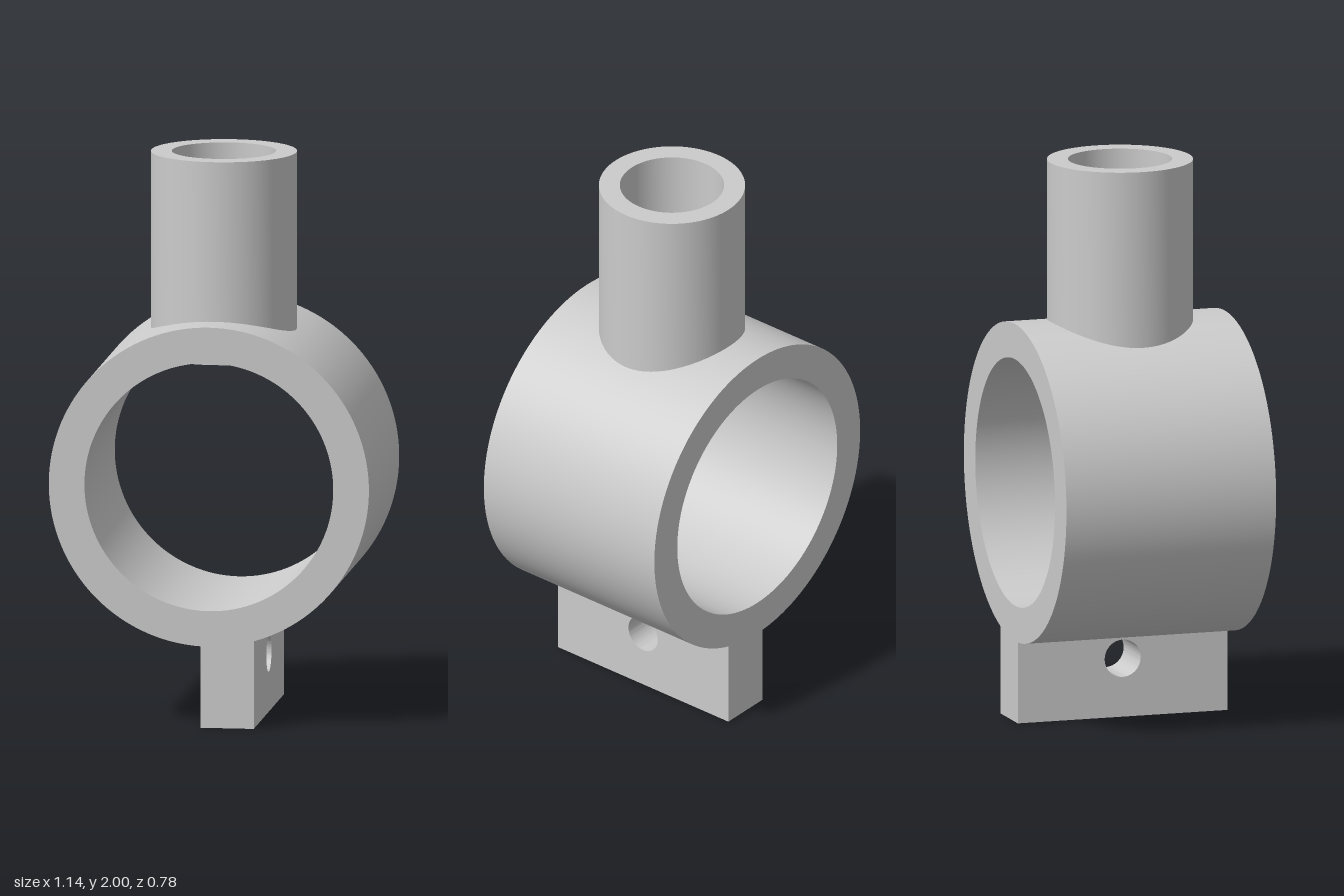
import * as THREE from 'three';
import { toCreasedNormals } from 'three/addons/utils/BufferGeometryUtils.js';

const material = new THREE.MeshStandardMaterial({ color: 0xcccccc });

// Hollow cylinder along y, centred on the origin
function pipe(outer, inner, length, segments) {
  const h = length / 2;
  const profile = [[inner, -h], [outer, -h], [outer, h], [inner, h], [inner, -h]]
    .map(([r, y]) => new THREE.Vector2(r, y));
  return toCreasedNormals(new THREE.LatheGeometry(profile, segments), 0.6);
}

// Plate with a round cross hole, extruded along its thickness
function drilledPlate(width, height, thickness, holeY, holeRadius) {
  const w = width / 2;
  const shape = new THREE.Shape();
  shape.moveTo(-w, 0).lineTo(w, 0).lineTo(w, height).lineTo(-w, height).closePath();
  const hole = new THREE.Path();
  hole.absarc(0, holeY, holeRadius, 0, Math.PI * 2, true);
  shape.holes.push(hole);
  const geometry = new THREE.ExtrudeGeometry(shape, {
    depth: thickness, bevelEnabled: false, curveSegments: 48,
  });
  return toCreasedNormals(geometry, 0.6);
}

export function createModel() {
  const model = new THREE.Group();
  model.name = 'pipeClamp';

  const add = (name, geometry) => {
    const mesh = new THREE.Mesh(geometry, material);
    mesh.name = name;
    model.add(mesh);
    return mesh;
  };

  // Large ring, open front to back
  const ring = add('clampRing', pipe(0.57, 0.443, 0.78, 128));
  ring.rotation.x = Math.PI / 2;
  ring.position.y = 0.86;

  // Upright socket, its lower rim reaching just inside the ring
  const socket = add('socketTube', pipe(0.258, 0.184, 0.725, 96));
  socket.position.y = 1.6375;

  // Offset lug below the ring with a bolt hole from side to side
  const lug = add('boltLug', drilledPlate(0.78, 0.415, 0.19, 0.21, 0.067));
  lug.rotation.y = Math.PI / 2;
  lug.position.x = -0.03;

  return model;
}
